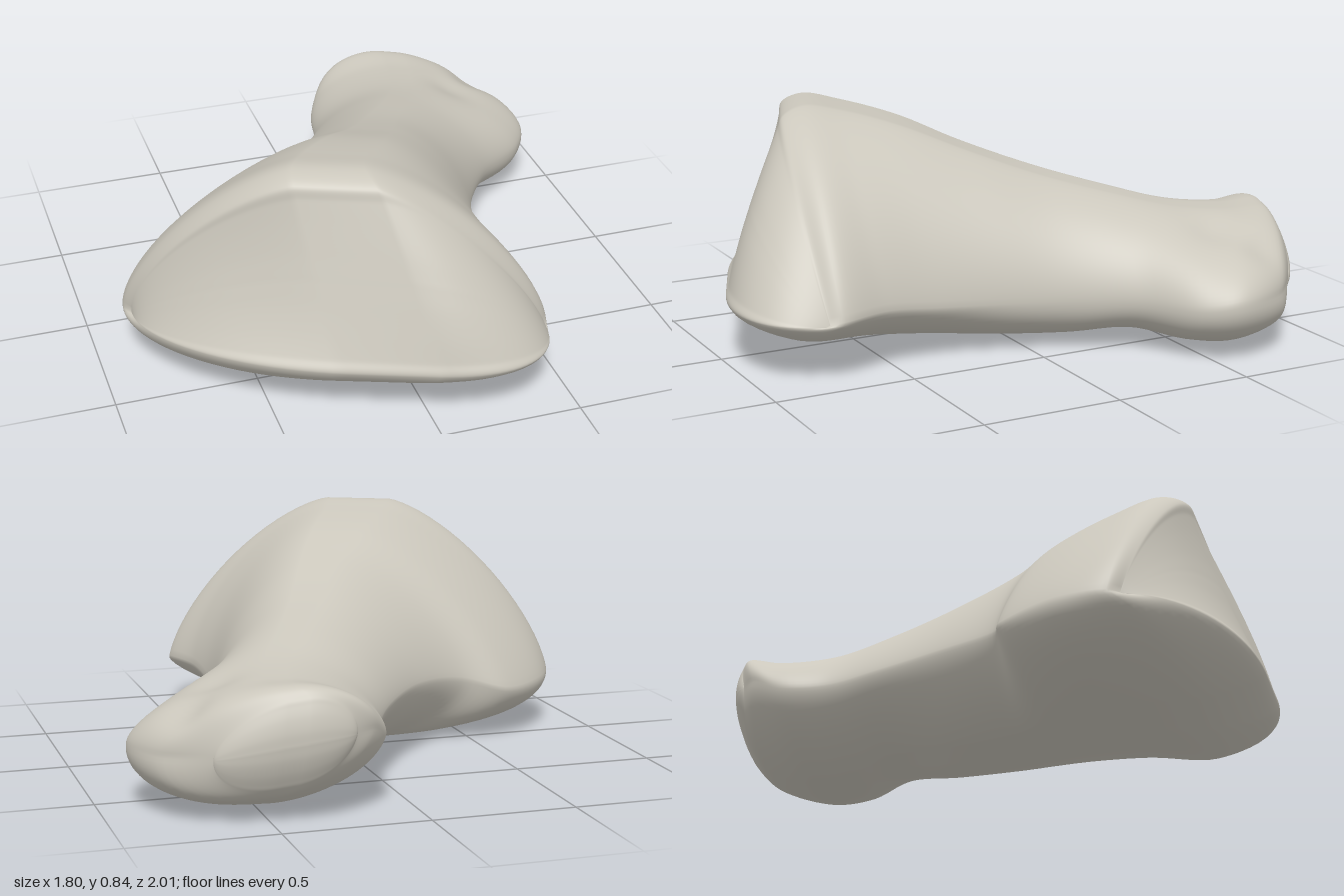
import * as THREE from 'three';
import { mergeVertices } from 'three/addons/utils/BufferGeometryUtils.js';

// Cross-sections from the wide base to the small head: left, top, right and bottom points
const SECTIONS = [
  [[-0.88, 0.2, 0.25], [-0.26, 0.81, 0.65], [0.45, 0.21, 0.78], [-0.14, 0.22, 0.92]],
  [[-0.9, 0.2, 0.2], [-0.26, 0.84, 0.57], [0.47, 0.22, 0.73], [-0.25, 0.075, 0.68]],
  [[-0.82, 0.2, 0.04], [-0.2, 0.82, 0.45], [0.42, 0.22, 0.55], [-0.32, 0.01, 0.34]],
  [[-0.62, 0.2, -0.11], [-0.08, 0.77, 0.28], [0.41, 0.2, 0.35], [-0.18, 0.005, 0.15]],
  [[-0.44, 0.25, -0.115], [0.05, 0.68, 0.08], [0.45, 0.19, 0.1], [0.0, 0.02, 0.0]],
  [[-0.22, 0.28, -0.27], [0.17, 0.59, -0.15], [0.53, 0.19, -0.13], [0.15, 0.035, -0.2]],
  [[-0.03, 0.27, -0.5], [0.3, 0.52, -0.38], [0.65, 0.2, -0.3], [0.3, 0.06, -0.4]],
  [[0.06, 0.25, -0.66], [0.4, 0.47, -0.58], [0.84, 0.2, -0.44], [0.42, 0.03, -0.55]],
  [[0.1, 0.25, -0.83], [0.45, 0.45, -0.78], [0.9, 0.22, -0.56], [0.5, 0.02, -0.7]],
  [[0.17, 0.3, -0.93], [0.46, 0.45, -0.92], [0.84, 0.22, -0.75], [0.52, 0.08, -0.87]],
  [[0.24, 0.3, -0.965], [0.43, 0.42, -0.96], [0.69, 0.23, -0.89], [0.46, 0.13, -0.93]],
];

// Soft grooves beside the head: centre, radius, offset
const DENTS = [
  [[0.62, 0.4, -0.62], 0.09, [-0.01, -0.02, 0]],
  [[0.73, 0.34, -0.74], 0.08, [-0.02, -0.02, 0]],
];

const QUARTER = 22, AROUND = QUARTER * 4, ALONG = 130;
const vec = (p) => new THREE.Vector3(...p);
const { lerp, smoothstep } = THREE.MathUtils;

// One closed ring: four rounded quadrants, parted by a flat strip on top and below.
// Near the base the strip is wide and the shoulders straight; the head is rounder.
function ring(section, i) {
  const [L, T, R, B] = section.map(vec);
  const t = i / (SECTIONS.length - 1);
  const strip = lerp(0.13, 0.03, Math.min(1, t * 1.6));
  const powers = [lerp(1.45, 1.12, t), lerp(1.38, 1.15, t), lerp(0.94, 1, t), 1 + 0.2 * Math.sin(Math.PI * t)];
  const centre = new THREE.Line3(L, R).closestPointToPoint(T.clone().lerp(B, 0.5), true, new THREE.Vector3());
  const across = R.clone().sub(L).normalize();
  const points = [];
  for (let k = 0; k < 4; k++) {
    const isRight = k === 1 || k === 2;
    const hub = centre.clone().addScaledVector(across, isRight ? strip : -strip);
    const side = (isRight ? R : L).clone().sub(hub);
    const height = (k < 2 ? T : B).clone().sub(centre);
    for (let m = 0; m < QUARTER; m++) {
      const a = (m + 0.5) / QUARTER * Math.PI / 2;
      const c = Math.pow(Math.cos(a), powers[k]), s = Math.pow(Math.sin(a), powers[k]);
      points.push(hub.clone()
        .addScaledVector(side, k % 2 ? s : c)
        .addScaledVector(height, k % 2 ? c : s));
    }
  }
  return points;
}

// Rings closing an end: upper and lower edges meet along a middle line
function cap(rim, outward, bulge) {
  return [1, 0.7, 0.4, 0.15].map((inset) => rim.map((p, j) => {
    const opposite = rim[AROUND - 1 - j];
    const q = p.clone().lerp(opposite, inset / 2);
    const rise = p.distanceTo(opposite) * bulge(q.x) * inset * (2 - inset);
    return q.addScaledVector(outward, rise);
  }));
}

function boneGeometry() {
  const body = SECTIONS.map(ring);
  // Joint face: hollow on one side, full on the other
  const face = cap(body[0], vec([0, 0.45, 0.89]), (x) => lerp(-0.06, 0.04, smoothstep(x, -0.6, 0.1)));
  const end = cap(body[body.length - 1], vec([0.05, 0, -1]), () => 0.14).reverse();
  const rings = [...face, ...body, ...end];

  const curves = body[0].map((_, j) => new THREE.CatmullRomCurve3(rings.map((r) => r[j])));
  const positions = [], index = [];
  for (let i = 0; i <= ALONG; i++) {
    for (let j = 0; j < AROUND; j++) {
      const p = curves[j].getPoint(i / ALONG), start = p.clone();
      for (const [c, radius, offset] of DENTS) {
        const w = Math.exp(-start.distanceToSquared(vec(c)) / (radius * radius));
        p.addScaledVector(vec(offset), w);
      }
      positions.push(p.x, p.y, p.z);
      if (i === ALONG) continue;
      const a = i * AROUND + j, b = i * AROUND + (j + 1) % AROUND;
      index.push(a, b, a + AROUND, b, b + AROUND, a + AROUND);
    }
  }
  const geometry = new THREE.BufferGeometry();
  geometry.setAttribute('position', new THREE.Float32BufferAttribute(positions, 3));
  geometry.setIndex(index);

  // Weld the middle lines so shading runs across them
  const welded = mergeVertices(geometry, 1e-4);
  welded.computeVertexNormals();
  return welded;
}

export function createModel() {
  const group = new THREE.Group();
  group.name = 'bone';
  const material = new THREE.MeshStandardMaterial({ color: 0xcbc7bc });
  material.name = 'bone grey';
  const bone = new THREE.Mesh(boneGeometry(), material);
  bone.name = 'boneBody';
  group.add(bone);
  return group;
}
